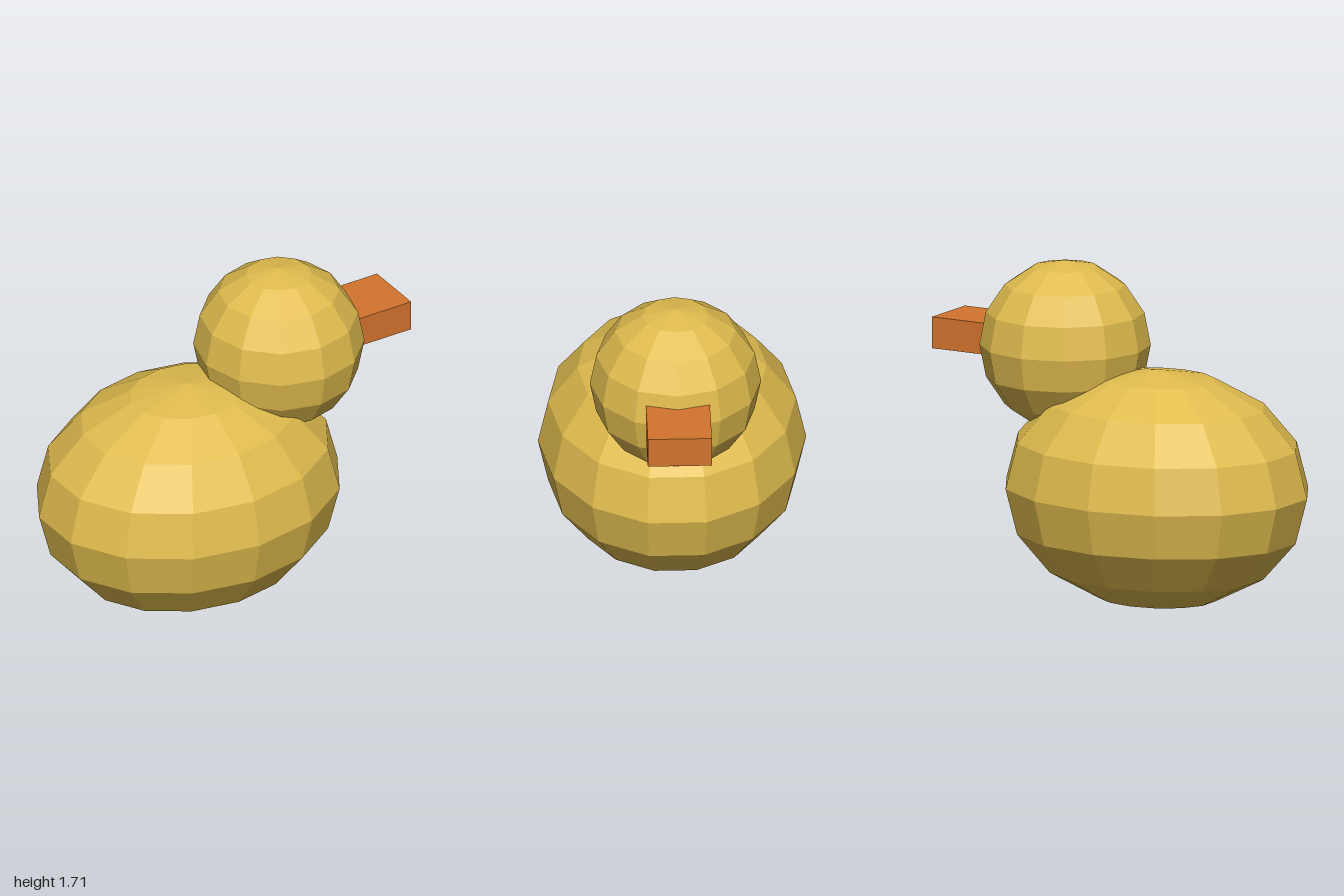
import * as THREE from 'three';

export function createModel() {
  const group = new THREE.Group();
  group.name = 'duck';

  const yellow = new THREE.MeshStandardMaterial({ color: 0xe0bc4e });
  yellow.name = 'yellow';
  const orange = new THREE.MeshStandardMaterial({ color: 0xd2742e });
  orange.name = 'orange';

  function add(name, geometry, material, x, y, z) {
    const mesh = new THREE.Mesh(geometry, material);
    mesh.name = name;
    mesh.position.set(x, y, z);
    group.add(mesh);
  }

  // Faceted ellipsoid with a vertex column on the z axis and split flat normals
  function facetedBall(rx, ry, rz, segments) {
    const geometry = new THREE.SphereGeometry(1, segments, 8)
      .rotateY(Math.PI / 2)
      .scale(rx, ry, rz)
      .toNonIndexed();
    geometry.computeVertexNormals();
    return geometry;
  }

  // Long rounded body
  add('body', facetedBall(0.806, 0.605, 0.67, 14), yellow, -0.215, 0.605, 0);

  // Head resting over the front of the body
  add('head', facetedBall(0.428, 0.43, 0.428, 12), yellow, 0.32, 1.28, 0);

  // Block beak, sunk into the head
  add('beak', new THREE.BoxGeometry(0.36, 0.16, 0.32), orange, 0.82, 1.295, 0);

  return group;
}
